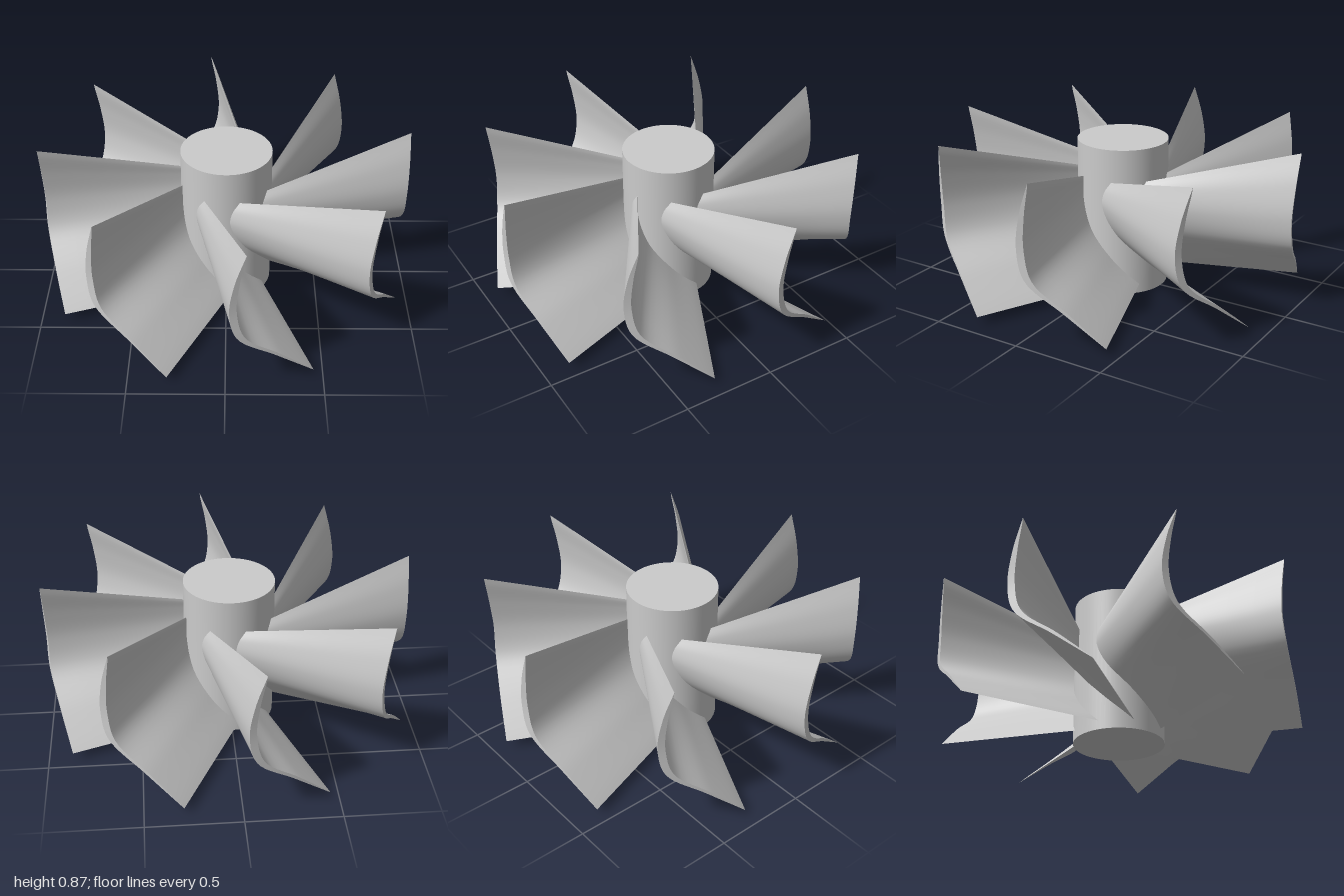
import * as THREE from 'three';
import { mergeGeometries } from 'three/addons/utils/BufferGeometryUtils.js';

const material = new THREE.MeshStandardMaterial({ color: 0xcccccc });
const STEPS = 32;
const THICKNESS = 0.04;

// Smooth profile, listed from the upper edge to the lower edge
function profile(points) {
  const curve = new THREE.CatmullRomCurve3(points.map(p => new THREE.Vector3(...p)));
  return curve.getPoints(STEPS);
}

// Crescent: the profile pushed sideways, tapering to nothing at both edges
function thicken(points) {
  return points.map((p, i) => {
    const t = THICKNESS * Math.pow(Math.sin(Math.PI * i / STEPS), 0.8);
    return i === 0 || i === STEPS ? p.clone() : p.clone().add(new THREE.Vector3(0.95 * t, 0, -0.3 * t));
  });
}

// Ruled surface between two profiles
function ruled(a, b, segments) {
  const positions = [], index = [], row = segments + 1;
  a.forEach((p, i) => {
    for (let j = 0; j <= segments; j++) {
      positions.push(...p.clone().lerp(b[i], j / segments).toArray());
      if (i < STEPS && j < segments) {
        const k = i * row + j;
        index.push(k, k + row, k + 1, k + 1, k + row, k + row + 1);
      }
    }
  });
  const geometry = new THREE.BufferGeometry();
  geometry.setAttribute('position', new THREE.Float32BufferAttribute(positions, 3));
  geometry.setIndex(index);
  geometry.computeVertexNormals();
  return geometry;
}

function bladeGeometry() {
  const tip = profile([
    [0.10, 0.87, 0.995], [0.045, 0.70, 0.997], [0.02, 0.52, 0.995],
    [0.06, 0.36, 0.99], [0.25, 0.21, 0.935], [0.45, 0.05, 0.87],
  ]);
  const hubLine = profile([
    [-0.12, 0.635, 0.205], [-0.15, 0.58, 0.19], [-0.16, 0.50, 0.18],
    [-0.10, 0.36, 0.22], [0.05, 0.20, 0.235], [0.195, 0.05, 0.14],
  ]);
  // Run the root a little into the hub
  const root = hubLine.map((p, i) => p.clone().lerp(tip[i], -0.06));
  const tipInner = thicken(tip), rootInner = thicken(root);
  return mergeGeometries([
    ruled(root, tip, 6),            // convex face
    ruled(tipInner, rootInner, 6),  // concave face
    ruled(tip, tipInner, 1),        // outer end
  ]);
}

export function createModel() {
  const model = new THREE.Group();
  model.name = 'impeller';

  const hub = new THREE.Mesh(new THREE.CylinderGeometry(0.247, 0.247, 0.82, 64), material);
  hub.name = 'hub';
  hub.position.y = 0.41;
  model.add(hub);

  // Eight equal blades around the hub
  const geometry = bladeGeometry();
  for (let i = 0; i < 8; i++) {
    const blade = new THREE.Mesh(geometry, material);
    blade.name = `blade${i + 1}`;
    blade.rotation.y = i * Math.PI / 4;
    model.add(blade);
  }
  return model;
}
